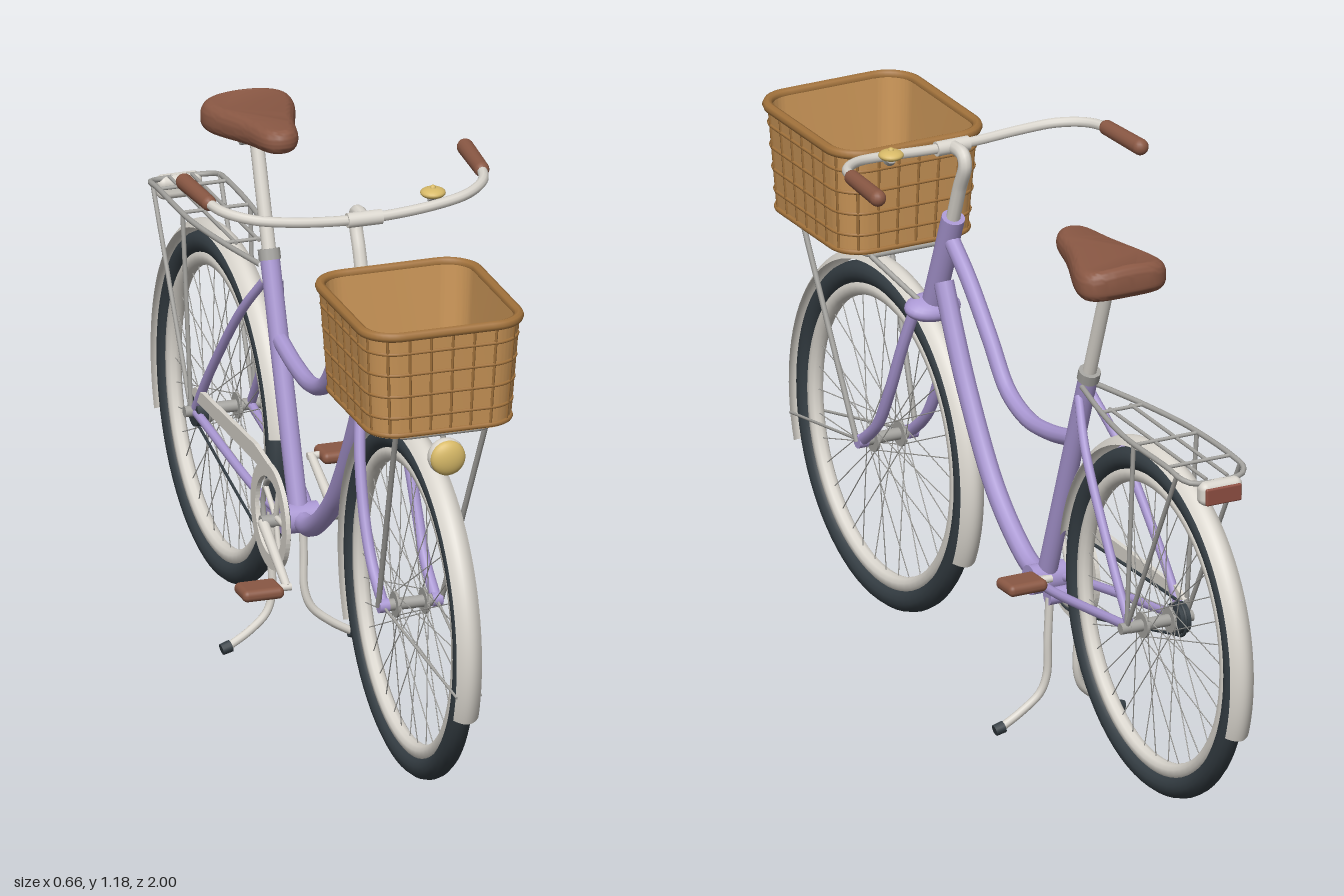
import * as THREE from 'three';
import { toCreasedNormals, mergeGeometries } from 'three/addons/utils/BufferGeometryUtils.js';
import { RoundedBoxGeometry } from 'three/addons/geometries/RoundedBoxGeometry.js';

const mat = (name, color) => Object.assign(new THREE.MeshStandardMaterial({ color }), { name });
const V = (x, y, z) => new THREE.Vector3(x, y, z);
const AXLE = 0.379, WHEELBASE = 0.6;

// geometry helpers
function rod(a, b, r, r2 = r, sides = 12) {
  const d = b.clone().sub(a);
  const g = new THREE.CylinderGeometry(r2, r, d.length(), sides);
  g.applyQuaternion(new THREE.Quaternion().setFromUnitVectors(V(0, 1, 0), d.normalize()));
  const m = a.clone().add(b).multiplyScalar(0.5);
  return g.translate(m.x, m.y, m.z);
}
const tube = (pts, r, closed = false, seg = 40, sides = 10) =>
  new THREE.TubeGeometry(new THREE.CatmullRomCurve3(pts, closed, 'centripetal'), seg, r, sides, closed);
const disc = (x0, x1, y, z, r) => rod(V(x0, y, z), V(x1, y, z), r, r, 24);
const mirror = (p, s) => V(p.x * s, p.y, p.z);

function roundedRect(hx, hy, r) {
  const s = new THREE.Shape();
  s.moveTo(-hx + r, -hy);
  s.lineTo(hx - r, -hy).absarc(hx - r, -hy + r, r, -Math.PI / 2, 0);
  s.lineTo(hx, hy - r).absarc(hx - r, hy - r, r, 0, Math.PI / 2);
  s.lineTo(-hx + r, hy).absarc(-hx + r, hy - r, r, Math.PI / 2, Math.PI);
  s.lineTo(-hx, -hy + r).absarc(-hx + r, -hy + r, r, Math.PI, Math.PI * 1.5);
  return s;
}

export function createModel() {
  const paint = mat('lavenderPaint', 0xa997d2), cream = mat('creamMetal', 0xdad6ce);
  const steel = mat('greySteel', 0xa3a29e), rubber = mat('darkRubber', 0x353e44);
  const leather = mat('brownLeather', 0x8a5844), wicker = mat('wicker', 0xcb9658);
  const rimWood = mat('wickerRim', 0xa3733c);
  const brass = mat('brass', 0xd8ba68), lens = mat('tailLens', 0x8f4f42);
  cream.side = THREE.DoubleSide;

  const model = new THREE.Group();
  model.name = 'cityBicycle';
  const add = (name, material, geo, parent = model) => {
    const m = new THREE.Mesh(geo, material);
    m.name = name;
    parent.add(m);
    return m;
  };
  const both = (name, material, make) => [-1, 1].forEach(s => add(name, material, make(s)));

  // wheels: tyre, rim, hub and laced spokes
  function wheel(name, z) {
    const g = new THREE.Group();
    g.name = name;
    g.position.set(0, AXLE, z);
    model.add(g);
    add('tire', rubber, new THREE.TorusGeometry(0.35, 0.0245, 14, 72).rotateY(Math.PI / 2), g);
    add('rim', cream, new THREE.TorusGeometry(0.317, 0.017, 10, 72).rotateY(Math.PI / 2), g);
    add('hub', steel, mergeGeometries([disc(-0.065, 0.065, 0, 0, 0.013),
      disc(-0.035, -0.029, 0, 0, 0.028), disc(0.029, 0.035, 0, 0, 0.028)]), g);
    const spokes = [];
    for (let i = 0; i < 36; i++) {
      const a = i / 36 * Math.PI * 2, b = a + (i % 4 < 2 ? 1 : -1) * 1.2, x = i % 2 ? 0.032 : -0.032;
      spokes.push(rod(V(x, 0.025 * Math.sin(b), 0.025 * Math.cos(b)),
        V(0, 0.305 * Math.sin(a), 0.305 * Math.cos(a)), 0.0012, 0.0012, 5));
    }
    add('spokes', steel, mergeGeometries(spokes), g);
  }
  wheel('frontWheel', WHEELBASE);
  wheel('rearWheel', -WHEELBASE);

  // curved fenders, angles in degrees measured from +z towards +y
  function fender(name, z, a0, a1) {
    const pts = [];
    for (let i = -5; i <= 5; i++) pts.push(new THREE.Vector2(0.4 - 0.018 * (i / 5) ** 2, 0.028 * i / 5));
    const rad = Math.PI / 180;
    const g = new THREE.LatheGeometry(pts, 60, -a1 * rad, (a1 - a0) * rad).rotateZ(-Math.PI / 2);
    add(name, cream, g.translate(0, AXLE, z));
  }
  fender('frontFender', WHEELBASE, -20, 205);
  fender('rearFender', -WHEELBASE, 10, 200);
  both('frontFenderStay', steel, s => rod(V(s * 0.06, AXLE, 0.6), V(s * 0.026, 0.305, 0.978), 0.003));

  // frame
  const bb = V(0, 0.31, -0.11);
  add('headTube', paint, rod(V(0, 0.75, 0.392), V(0, 0.975, 0.302), 0.025, 0.025, 20));
  add('topTube', paint, tube([V(0, 0.925, 0.315), V(0, 0.86, 0.235), V(0, 0.76, 0.14), V(0, 0.67, 0.06),
    V(0, 0.637, -0.03), V(0, 0.642, -0.13), V(0, 0.665, -0.235)], 0.018));
  add('downTube', paint, tube([V(0, 0.815, 0.345), V(0, 0.72, 0.3), V(0, 0.6, 0.235), V(0, 0.435, 0.12),
    V(0, 0.345, 0.015), V(0, 0.312, -0.05), bb], 0.022));
  add('seatTube', paint, rod(bb, V(0, 0.83, -0.3), 0.021, 0.021, 18));
  add('seatCollar', steel, rod(V(0, 0.82, -0.297), V(0, 0.842, -0.305), 0.024));
  add('bottomBracket', paint, disc(-0.04, 0.04, bb.y, bb.z, 0.032));
  both('seatStay', paint, s => tube([V(s * 0.016, 0.78, -0.285), V(s * 0.04, 0.69, -0.36),
    V(s * 0.058, 0.5, -0.51), V(s * 0.062, AXLE, -0.6)], 0.01));
  both('chainStay', paint, s => tube([V(s * 0.025, 0.31, -0.11), V(s * 0.045, 0.325, -0.22),
    V(s * 0.062, AXLE, -0.6)], 0.01));

  // fork and steering
  add('forkCrown', paint, new THREE.SphereGeometry(1, 24, 14).scale(0.064, 0.025, 0.042)
    .rotateX(-0.3).translate(0, 0.742, 0.395));
  both('forkLeg', paint, s => tube([V(s * 0.04, 0.745, 0.396), V(s * 0.052, 0.65, 0.43), V(s * 0.058, 0.53, 0.478),
    V(s * 0.058, 0.44, 0.53), V(s * 0.058, AXLE, 0.6)], 0.0125));
  both('forkEnd', paint, s => disc(s * 0.048, s * 0.07, AXLE, 0.6, 0.015));
  add('stemQuill', cream, tube([V(0, 0.965, 0.306), V(0, 1.05, 0.275), V(0, 1.11, 0.25), V(0, 1.131, 0.26),
    V(0, 1.133, 0.31)], 0.015));
  add('stemClamp', cream, disc(-0.038, 0.038, 1.133, 0.308, 0.016));
  const half = [V(0.07, 1.135, 0.308), V(0.16, 1.142, 0.303), V(0.235, 1.15, 0.285), V(0.285, 1.157, 0.24),
    V(0.303, 1.161, 0.18), V(0.31, 1.162, 0.06)];
  add('handlebar', cream, tube([...half.map(p => mirror(p, -1)).reverse(), V(0, 1.133, 0.308), ...half], 0.011, false, 80));
  both('grip', leather, s => {
    const a = mirror(V(0.302, 1.161, 0.185), s), b = mirror(V(0.311, 1.162, 0.055), s);
    return mergeGeometries([rod(a, b, 0.0165, 0.018, 16), new THREE.SphereGeometry(0.018, 16, 10).translate(b.x, b.y, b.z),
      new THREE.SphereGeometry(0.0165, 16, 10).translate(a.x, a.y, a.z)]);
  });
  add('bellBase', steel, rod(V(0.165, 1.142, 0.28), V(0.165, 1.15, 0.272), 0.014));
  add('bell', brass, mergeGeometries([
    new THREE.SphereGeometry(0.027, 24, 12).scale(1, 0.42, 1).translate(0.165, 1.157, 0.27),
    new THREE.SphereGeometry(0.007, 12, 8).translate(0.165, 1.167, 0.27)]));

  // saddle: tapered plan with a domed top
  add('seatPost', cream, rod(V(0, 0.83, -0.3), V(0, 1.07, -0.388), 0.015, 0.015, 16));
  const plan = new THREE.Shape();
  plan.moveTo(0, 0.222);
  plan.bezierCurveTo(0.028, 0.222, 0.024, 0.26, 0.04, 0.315);
  plan.bezierCurveTo(0.058, 0.375, 0.084, 0.42, 0.08, 0.45);
  plan.bezierCurveTo(0.075, 0.47, 0.045, 0.47, 0, 0.47);
  plan.bezierCurveTo(-0.045, 0.47, -0.075, 0.47, -0.08, 0.45);
  plan.bezierCurveTo(-0.084, 0.42, -0.058, 0.375, -0.04, 0.315);
  plan.bezierCurveTo(-0.024, 0.26, -0.028, 0.222, 0, 0.222);
  const saddle = new THREE.ExtrudeGeometry(plan, { depth: 0.014, bevelThickness: 0.024, bevelSize: 0.02,
    bevelSegments: 7, curveSegments: 12 }).rotateX(-Math.PI / 2).translate(0, 1.1, 0);
  const sp = saddle.attributes.position;
  for (let i = 0; i < sp.count; i++) { // deepen the underside towards the back, lower the flanks
    const y = sp.getY(i);
    sp.setY(i, y < 1.105 ? y + 0.01 - 0.02 * THREE.MathUtils.smoothstep(-sp.getZ(i), 0.2, 0.45)
      : y - 0.012 * (sp.getX(i) / 0.1) ** 2);
  }
  add('saddle', leather, toCreasedNormals(saddle, 0.9));
  both('saddleRail', steel, s => tube([V(s * 0.01, 1.09, -0.25), V(s * 0.02, 1.066, -0.34), V(s * 0.025, 1.06, -0.41),
    V(s * 0.05, 1.085, -0.46)], 0.005));
  add('saddleClamp', steel, disc(-0.035, 0.035, 1.062, -0.39, 0.014));
  both('saddleSpring', steel, s => rod(V(s * 0.045, 1.054, -0.435), V(s * 0.045, 1.09, -0.435), 0.011));

  // drivetrain on the -x side
  const ring = new THREE.Shape().absarc(0, 0, 0.115, 0, Math.PI * 2);
  ring.holes.push(new THREE.Path().absarc(0, 0, 0.085, 0, Math.PI * 2, true));
  const side = (shape, depth, x) => // shape x runs towards -z
    new THREE.ExtrudeGeometry(shape, { depth, bevelEnabled: false, curveSegments: 32 }).rotateY(Math.PI / 2).translate(x, 0, 0);
  add('chainGuardRing', cream, side(ring, 0.01, -0.068).translate(0, 0.322, -0.11));
  const strip = new THREE.Shape([[0.1, 0.405], [0.12, 0.438], [0.2, 0.45], [0.58, 0.44], [0.61, 0.422], [0.58, 0.41], [0.2, 0.412]]
    .map(p => new THREE.Vector2(...p)));
  add('chainGuardStrip', cream, side(strip, 0.01, -0.068));
  add('chainring', steel, new THREE.TorusGeometry(0.08, 0.006, 8, 40).rotateY(Math.PI / 2).translate(-0.052, 0.318, -0.11));
  for (let i = 0; i < 5; i++) {
    const a = i / 5 * Math.PI * 2;
    add('chainringArm', cream, rod(V(-0.052, 0.318, -0.11), V(-0.052, 0.318 + 0.08 * Math.sin(a), -0.11 + 0.08 * Math.cos(a)), 0.006));
  }
  const links = [];
  for (const [y, z, r, start] of [[0.318, -0.11, 0.09, -90], [AXLE, -WHEELBASE, 0.038, 90]])
    for (let a = start; a <= start + 180; a += 20)
      links.push(V(-0.052, y + r * Math.sin(a * Math.PI / 180), z + r * Math.cos(a * Math.PI / 180)));
  add('chain', rubber, tube(links, 0.0035, true, 140, 6));
  add('rearSprocket', rubber, disc(-0.066, -0.042, AXLE, -0.6, 0.034));
  add('rearAxle', steel, disc(-0.085, 0.085, AXLE, -0.6, 0.012));
  add('crankAxle', steel, disc(-0.085, 0.085, bb.y, bb.z, 0.014));
  for (const [s, y, z] of [[-1, 0.225, 0.055], [1, 0.378, -0.275]]) {
    add('crankArm', cream, rod(V(s * 0.08, bb.y, bb.z), V(s * 0.084, y, z), 0.012, 0.009));
    add('pedalAxle', cream, disc(s * 0.075, s * 0.12, y, z, 0.008));
    add('pedal', leather, new RoundedBoxGeometry(0.092, 0.026, 0.072, 4, 0.012).translate(s * 0.145, y, z));
  }

  // two-legged centre stand
  add('standBracket', paint, disc(-0.04, 0.04, 0.3, -0.19, 0.018));
  both('standLeg', cream, s => tube([V(s * 0.034, 0.3, -0.19), V(s * 0.036, 0.2, -0.185), V(s * 0.036, 0.12, -0.18),
    V(s * 0.05, 0.08, -0.175), V(s * 0.09, 0.045, -0.17), V(s * 0.14, 0.015, -0.168)], 0.009));
  both('standFoot', rubber, s => rod(V(s * 0.131, 0.018, -0.168), V(s * 0.152, 0.012, -0.167), 0.013, 0.012));

  // rear carrier
  const ry = 0.808;
  const rail = [V(0.018, ry, -0.305), V(0.05, ry, -0.45), V(0.073, ry, -0.6), V(0.076, ry, -0.8), V(0.074, ry - 0.006, -0.85), V(0.055, ry - 0.012, -0.872)];
  add('carrierFrame', steel, tube([...rail, ...rail.map(p => mirror(p, -1)).reverse()], 0.006, false, 80));
  for (const x of [-0.025, 0.025]) add('carrierSlat', steel, rod(V(x, ry, -0.44), V(x, ry - 0.008, -0.87), 0.004));
  for (const [z, x] of [[-0.45, 0.048], [-0.645, 0.074], [-0.79, 0.076]])
    add('carrierCrossbar', steel, disc(-x, x, ry, z, 0.004));
  for (const z of [-0.64, -0.835])
    both('carrierStay', steel, s => rod(V(s * 0.07, AXLE, -0.6), V(s * 0.075, ry, z), 0.005));
  add('tailLightHousing', cream, new RoundedBoxGeometry(0.1, 0.052, 0.038, 4, 0.016).translate(0, 0.774, -0.882));
  add('tailLightLens', lens, new RoundedBoxGeometry(0.084, 0.038, 0.009, 3, 0.004).translate(0, 0.771, -0.9));

  // front carrier and headlight
  const py = 0.84;
  add('frontCarrierFrame', steel, tube(roundedRect(0.1, 0.165, 0.02).getSpacedPoints(48).slice(0, -1)
    .map(p => V(p.x, py, 0.655 + p.y)), 0.006, true, 96));
  for (const x of [-0.05, 0, 0.05]) add('frontCarrierSlat', steel, rod(V(x, py, 0.49), V(x, py, 0.82), 0.004));
  for (const z of [0.57, 0.655, 0.74]) add('frontCarrierCrossbar', steel, disc(-0.1, 0.1, py, z, 0.004));
  both('frontCarrierStay', steel, s => rod(V(s * 0.07, AXLE, 0.6), V(s * 0.1, py, 0.8), 0.006));
  both('frontCarrierBrace', steel, s => rod(V(s * 0.03, 0.76, 0.4), V(s * 0.095, py, 0.49), 0.006));
  add('lampBracket', steel, rod(V(0, py, 0.81), V(0, 0.8, 0.82), 0.006));
  add('lampHousing', cream, new THREE.SphereGeometry(0.04, 24, 16).scale(1, 1, 0.72).translate(0, 0.792, 0.832));
  add('lampLens', brass, new THREE.SphereGeometry(0.0385, 24, 10, 0, Math.PI * 2, 0, Math.PI / 2)
    .rotateX(Math.PI / 2).scale(1, 1, 0.5).translate(0, 0.792, 0.844));

  // wicker basket, flaring towards the rim
  const y0 = 0.846, tall = 0.234, zc = 0.662;
  const flare = t => 1 + 0.1 * t;
  const basket = new THREE.Group();
  basket.name = 'basket';
  basket.position.set(0, y0, zc);
  model.add(basket);
  const outer = roundedRect(0.157, 0.177, 0.062), wall = outer.clone();
  wall.holes.push(roundedRect(0.148, 0.168, 0.053));
  const up = (shape, depth) => new THREE.ExtrudeGeometry(shape, { depth, bevelEnabled: false, curveSegments: 10 }).rotateX(-Math.PI / 2);
  const sides = up(wall, tall), wp = sides.attributes.position;
  for (let i = 0; i < wp.count; i++) {
    const k = flare(wp.getY(i) / tall);
    wp.setXYZ(i, wp.getX(i) * k, wp.getY(i), wp.getZ(i) * k);
  }
  add('basketSides', wicker, toCreasedNormals(sides, 0.6), basket);
  add('basketBase', wicker, up(outer, 0.01), basket);
  const N = 84, loop = outer.getSpacedPoints(N).slice(0, -1);
  const at = (p, t) => V(p.x * flare(t), t * tall, p.y * flare(t));
  const hoop = (t, r) => tube(loop.map(p => at(p, t)), r, true, 120, 8);
  for (const t of [0.2, 0.41, 0.62, 0.83]) add('basketHoop', rimWood, hoop(t, 0.004), basket);
  for (let i = 0; i < N; i += 3) add('basketStake', rimWood, rod(at(loop[i], 0.02), at(loop[i], 0.98), 0.0034, 0.0034, 6), basket);
  add('basketRim', rimWood, hoop(1, 0.011), basket);
  add('basketFoot', rimWood, hoop(0.03, 0.006), basket);

  return model;
}
